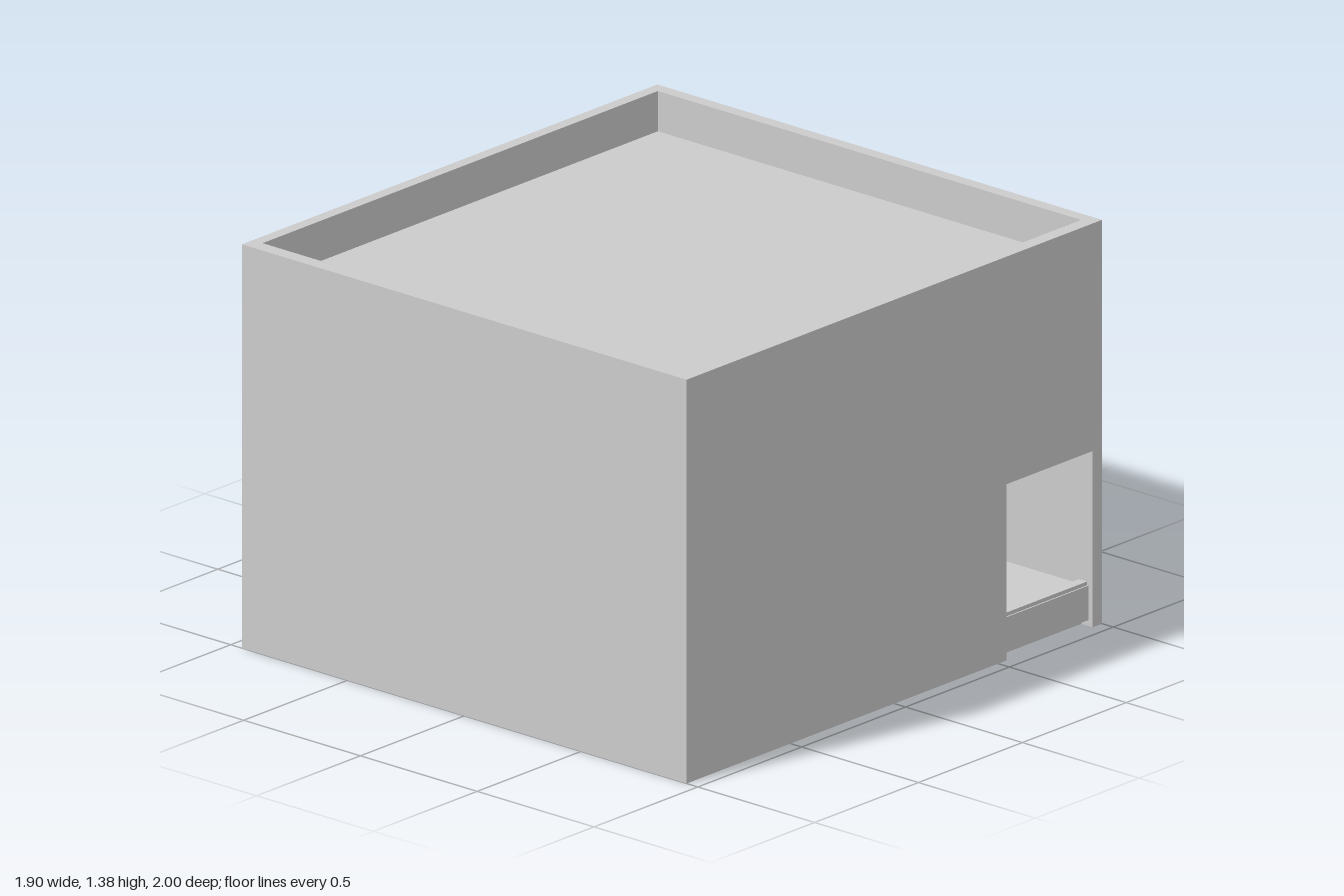
import * as THREE from 'three';

const material = new THREE.MeshStandardMaterial({ color: 0xcccccc, flatShading: true });

// Outer extents and inner wall faces
const X = 0.952, Z = 1, H = 1.375;
const IN = { left: -0.91, right: 0.903, back: -0.955, front: 0.948 };
// Opening in the side wall
const OPEN = { near: -0.54, far: -0.955, top: 0.6 };

function part(name, geometry) {
  const mesh = new THREE.Mesh(geometry, material);
  mesh.name = name;
  return mesh;
}

// Box given by its limits on each axis
function block(name, x0, x1, y0, y1, z0, z1) {
  const mesh = part(name, new THREE.BoxGeometry(x1 - x0, y1 - y0, z1 - z0));
  mesh.position.set((x0 + x1) / 2, (y0 + y1) / 2, (z0 + z1) / 2);
  return mesh;
}

function extrude(points, depth) {
  const shape = new THREE.Shape(points.map(([x, y]) => new THREE.Vector2(x, y)));
  return new THREE.ExtrudeGeometry(shape, { depth, bevelEnabled: false });
}

export function createModel() {
  const group = new THREE.Group();
  group.name = 'flatRoofBuilding';

  // Front, back and closed side wall: a U-shaped plan, raised to the parapet
  const plan = [
    [-X, -Z], [IN.right, -Z], [IN.right, -IN.front], [IN.left, -IN.front],
    [IN.left, -IN.back], [IN.right, -IN.back], [IN.right, Z], [-X, Z],
  ];
  group.add(part('outerWalls', extrude(plan, H).rotateX(-Math.PI / 2)));

  // Side wall with the opening cut up from the ground
  const side = [
    [-Z, 0], [-OPEN.near, 0], [-OPEN.near, OPEN.top], [-OPEN.far, OPEN.top],
    [-OPEN.far, 0], [Z, 0], [Z, H], [-Z, H],
  ];
  const sideWall = part('openingWall', extrude(side, X - IN.right).rotateY(Math.PI / 2));
  sideWall.position.x = IN.right;
  group.add(sideWall);

  // Floor and sunken roof
  group.add(block('floor', IN.left, IN.right, 0, 0.135, IN.back, IN.front));
  group.add(block('roof', IN.left, IN.right, 1.2, 1.238, IN.back, IN.front));

  // Recessed panel and sill closing the bottom of the opening
  group.add(block('openingPanel', IN.right, 0.933, 0.02, 0.137, OPEN.far, OPEN.near));
  group.add(block('openingSill', 0.893, 0.928, 0.135, 0.15, OPEN.far, OPEN.near));

  return group;
}
